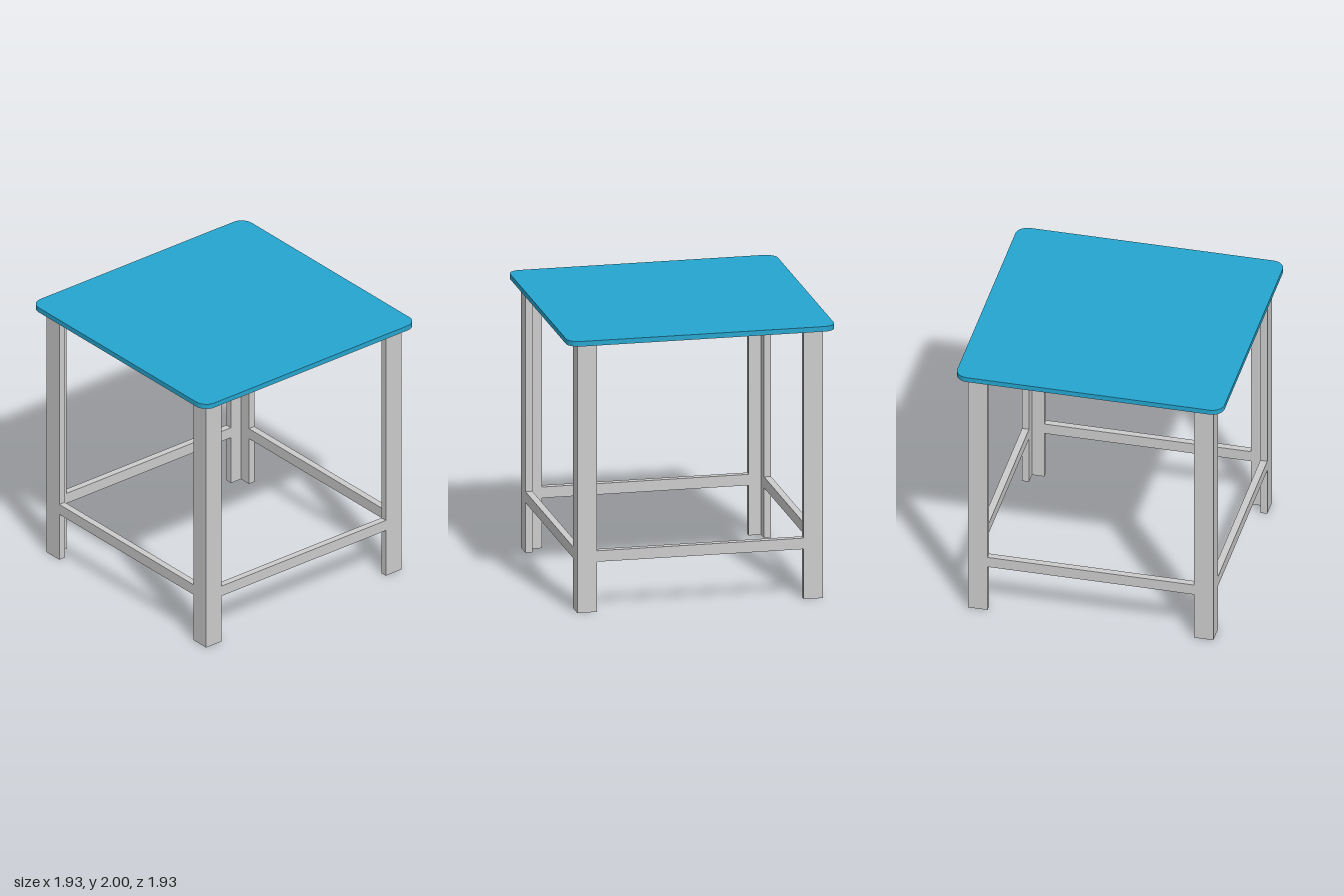
import * as THREE from 'three';

const HALF = 0.965;    // half width of the top
const RADIUS = 0.09;   // corner radius of the top
const LEG_H = 1.963;   // underside of the top
const OUT = 0.885;     // outer face of the legs
const LEG_W = 0.14;    // flange width
const T = 0.05;        // flange and rail thickness

function roundedSquare(h, r) {
  const s = new THREE.Shape();
  s.absarc(h - r, h - r, r, 0, Math.PI / 2);
  s.absarc(-h + r, h - r, r, Math.PI / 2, Math.PI);
  s.absarc(-h + r, -h + r, r, Math.PI, Math.PI * 1.5);
  s.absarc(h - r, -h + r, r, Math.PI * 1.5, Math.PI * 2);
  s.closePath();
  return s;
}

// Extrude a plan shape upwards, from y = 0 to y = height
function extrudeUp(shape, height) {
  const g = new THREE.ExtrudeGeometry(shape, { depth: height, bevelEnabled: false, curveSegments: 8 });
  return g.rotateX(-Math.PI / 2);
}

export function createModel() {
  const group = new THREE.Group();
  const grey = new THREE.MeshStandardMaterial({ color: 0xcccccc });
  const blue = new THREE.MeshStandardMaterial({ color: 0x25a5cf });

  const add = (name, geometry, material, y = 0) => {
    const mesh = new THREE.Mesh(geometry, material);
    mesh.name = name;
    mesh.position.y = y;
    group.add(mesh);
    return mesh;
  };

  // Blue top with a plain grey underside
  const skin = 0.002;
  const outline = roundedSquare(HALF, RADIUS);
  add('tableTop', extrudeUp(outline, 2 - LEG_H - skin), blue, LEG_H + skin);
  add('topUnderside', extrudeUp(outline, skin), grey, LEG_H);

  // Angle-section leg, outer corner at (+x, +z)
  const a = OUT, b = OUT - T, c = OUT - LEG_W;
  const section = new THREE.Shape(
    [[a, -a], [a, -c], [b, -c], [b, -b], [c, -b], [c, -a]].map(([x, y]) => new THREE.Vector2(x, y))
  );
  const legGeometry = extrudeUp(section, LEG_H);

  // Stretcher rail joining two neighbouring flanges
  const railGeometry = new THREE.BoxGeometry(2 * c, 0.08, T).translate(0, 0.405, OUT - T / 2);

  // One leg and one rail per side
  const legNames = ['frontLeftLeg', 'backLeftLeg', 'backRightLeg', 'frontRightLeg'];
  const railNames = ['frontRail', 'leftRail', 'backRail', 'rightRail'];
  for (let i = 0; i < 4; i++) {
    add(legNames[i], legGeometry, grey).rotation.y = i * Math.PI / 2;
    add(railNames[i], railGeometry, grey).rotation.y = i * Math.PI / 2;
  }
  return group;
}
